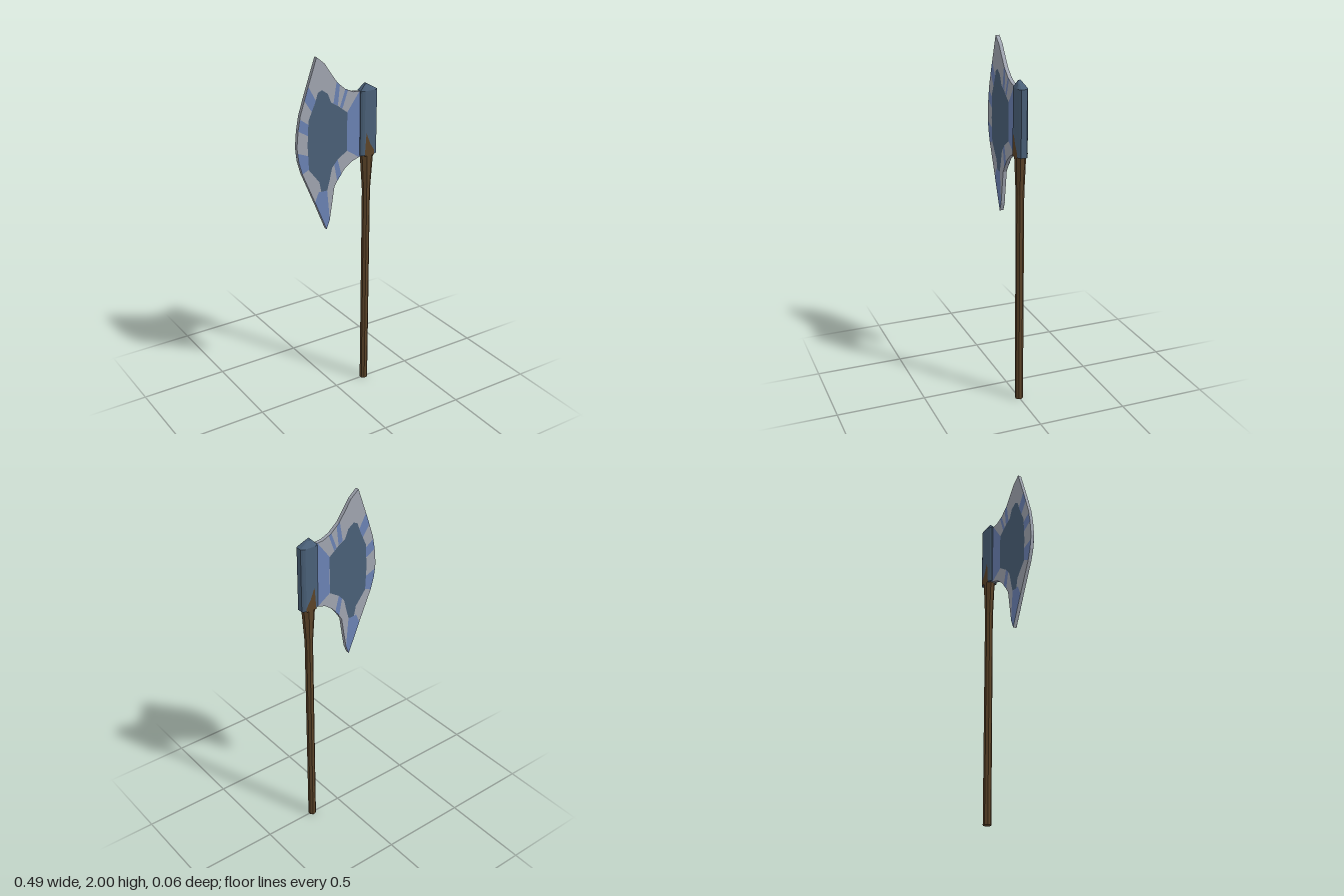
import * as THREE from 'three';
import { ConvexGeometry } from 'three/addons/geometries/ConvexGeometry.js';

const CX = 0.193; // axis of the shaft and socket

export function createModel() {
  const group = new THREE.Group();
  group.name = 'battleAxe';
  const material = (name, color, side = THREE.FrontSide) => {
    const m = new THREE.MeshStandardMaterial({ color, flatShading: true, side });
    m.name = name;
    return m;
  };
  const edgeSteel = material('paleSteel', 0xa0a5b0);
  const blueSteel = material('blueSteel', 0x6b82b4, THREE.DoubleSide);
  const darkSteel = material('darkSteel', 0x4a6078, THREE.DoubleSide);
  const wood = material('wood', 0x5c4429, THREE.DoubleSide);

  const add = (name, geometry, mat) => {
    const mesh = new THREE.Mesh(geometry, mat);
    mesh.name = name;
    group.add(mesh);
    return mesh;
  };
  const shapeOf = (pts) => new THREE.Shape(pts.map(([x, y]) => new THREE.Vector2(x, y)));
  // The same flat inlay on the front and the back
  const inlay = (name, pts, z, mat) => {
    for (const s of [1, -1]) {
      add(name + (s > 0 ? 'Front' : 'Back'), new THREE.ShapeGeometry(shapeOf(pts)), mat).position.z = s * z;
    }
  };

  // Blade: crescent plate running into the socket
  const blade = new THREE.ExtrudeGeometry(shapeOf([
    [-0.125, 2.0], [-0.18, 1.845], [-0.225, 1.71], [-0.24, 1.63], [-0.248, 1.54], [-0.238, 1.46],
    [-0.218, 1.39], [-0.13, 1.185], [-0.07, 1.04], [-0.05, 1.09], [-0.035, 1.18], [-0.02, 1.277],
    [0.01, 1.325], [0.045, 1.367], [0.09, 1.4], [0.16, 1.423],
    [0.16, 1.78], [0.1, 1.785], [0.05, 1.807], [0, 1.85], [-0.04, 1.905], [-0.077, 1.96],
  ]), { depth: 0.021, bevelEnabled: false });
  blade.translate(0, 0, -0.0105);
  add('blade', blade, edgeSteel);

  // Dark centre panel
  inlay('bladePanel', [
    [-0.095, 1.825], [-0.12, 1.815], [-0.137, 1.765], [-0.178, 1.675], [-0.185, 1.54], [-0.178, 1.405],
    [-0.115, 1.325], [-0.103, 1.267], [-0.066, 1.267], [-0.05, 1.325], [-0.035, 1.39], [0, 1.43],
    [0.06, 1.468], [0.06, 1.68], [0, 1.727], [-0.04, 1.75], [-0.06, 1.8],
  ], 0.0117, darkSteel);

  // Blue band beside the socket and blue patches around the rim
  [
    [[0.06, 1.68], [0.06, 1.468], [0.135, 1.418], [0.16, 1.423], [0.16, 1.78], [0.135, 1.781]],
    [[-0.176, 1.855], [-0.2, 1.785], [-0.157, 1.72], [-0.132, 1.775]],
    [[-0.227, 1.69], [-0.239, 1.63], [-0.183, 1.595], [-0.178, 1.655]],
    [[-0.245, 1.51], [-0.238, 1.46], [-0.218, 1.39], [-0.175, 1.41], [-0.181, 1.485]],
    [[-0.13, 1.185], [-0.07, 1.04], [-0.05, 1.09], [-0.066, 1.267], [-0.103, 1.267], [-0.118, 1.27], [-0.142, 1.215]],
    [[-0.006, 1.855], [0.014, 1.835], [0.002, 1.727], [-0.025, 1.742]],
    [[0.048, 1.808], [0.064, 1.8], [0.03, 1.705], [0.015, 1.718]],
    [[-0.022, 1.41], [0, 1.43], [0.024, 1.34], [-0.002, 1.308]],
  ].forEach((pts, i) => inlay('bluePatch' + (i + 1), pts, 0.011, blueSteel));

  // Socket: faceted oval block with a low slanted crown
  const corner = [[0.052, 0.016], [0.042, 0.024], [0.031, 0.029]];
  const pts = [];
  for (const sx of [1, -1]) for (const sz of [1, -1]) {
    for (const [x, z] of corner) {
      for (const y of [1.424, 1.782]) pts.push(new THREE.Vector3(CX + sx * x, y, sz * z));
    }
    pts.push(new THREE.Vector3(CX + sx * 0.014, sx > 0 ? 1.805 : 1.82, sz * 0.006));
  }
  add('socket', new ConvexGeometry(pts), darkSteel);

  // Shaft: eight-sided pole that widens into the socket
  const shaft = new THREE.CylinderGeometry(0.0228, 0.0228, 1.22, 8);
  shaft.rotateY(Math.PI / 8).translate(CX, 0.61, 0);
  add('shaft', shaft, wood);
  const flare = new THREE.CylinderGeometry(0.0228, 0.0228, 0.22, 8);
  flare.rotateY(Math.PI / 8);
  const p = flare.attributes.position;
  for (let i = 0; i < p.count; i++) {
    if (p.getY(i) > 0) p.setXYZ(i, p.getX(i) * 1.75, p.getY(i), p.getZ(i) * 1.32);
  }
  flare.translate(CX, 1.325, 0);
  add('shaftFlare', flare, wood);

  // Pointed wooden tongues lapping over both faces of the socket
  inlay('shaftTongue', [[0.162, 1.42], [0.224, 1.42], [0.224, 1.445], [0.198, 1.485], [0.172, 1.55]], 0.0296, wood);

  return group;
}
